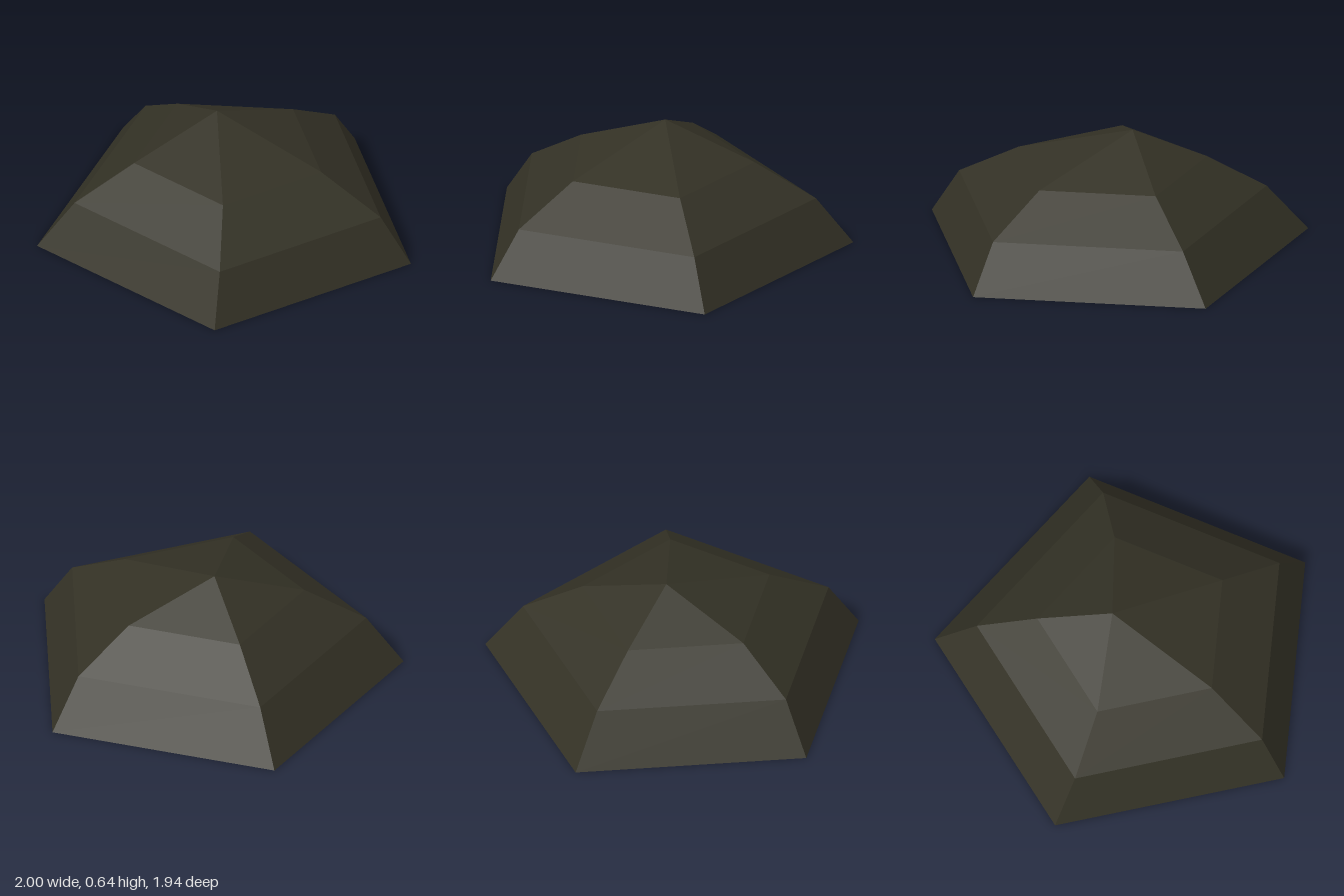
import * as THREE from 'three';

const SIDES = 5;

// Each ring is a pentagon: half width radius, depth radius, centre z, height
const ring = (rx, rz, cz, y) => Array.from({ length: SIDES }, (_, k) => {
  const a = (k * 2 * Math.PI) / SIDES;
  return [rx * Math.sin(a), y, cz - rz * Math.cos(a)];
});

// Flat-shaded bands joining successive rings, skipping collapsed triangles at an apex
function loft(rings) {
  const pos = [];
  const same = (p, q) => p.every((v, i) => Math.abs(v - q[i]) < 1e-6);
  const tri = (a, b, c) => {
    if (!same(a, b) && !same(b, c) && !same(c, a)) pos.push(...a, ...b, ...c);
  };
  for (let i = 0; i < rings.length - 1; i++) {
    for (let k = 0; k < SIDES; k++) {
      const n = (k + 1) % SIDES;
      const lo = rings[i], hi = rings[i + 1];
      tri(lo[n], lo[k], hi[k]);
      tri(lo[n], hi[k], hi[n]);
    }
  }
  const g = new THREE.BufferGeometry();
  g.setAttribute('position', new THREE.Float32BufferAttribute(pos, 3));
  g.computeVertexNormals();
  return g;
}

export function createModel() {
  const group = new THREE.Group();
  group.name = 'pentagonalDome';
  const darkOlive = new THREE.MeshStandardMaterial({ color: 0x333125, flatShading: true });
  darkOlive.name = 'darkOlive';

  const add = (name, rings) => {
    const mesh = new THREE.Mesh(loft(rings), darkOlive);
    mesh.name = name;
    group.add(mesh);
  };

  // Outer faces, from the base up to the apex
  const outer = [
    ring(1.0515, 1.0725, 0.1, 0),
    ring(0.862, 0.876, 0.13, 0.265),
    ring(0.526, 0.536, 0.116, 0.462),
    ring(0, 0, -0.015, 0.645),
  ];
  // Inner faces, from the apex down to the base
  const inner = [
    ring(0, 0, -0.015, 0.595),
    ring(0.495, 0.505, 0.116, 0.417),
    ring(0.807, 0.821, 0.13, 0.238),
    ring(0.983, 1.003, 0.1, 0),
  ];

  add('outerShell', outer);
  add('innerShell', inner);
  // Flat underside closing the shell thickness
  add('bottomRim', [inner[3], outer[0]]);
  return group;
}
